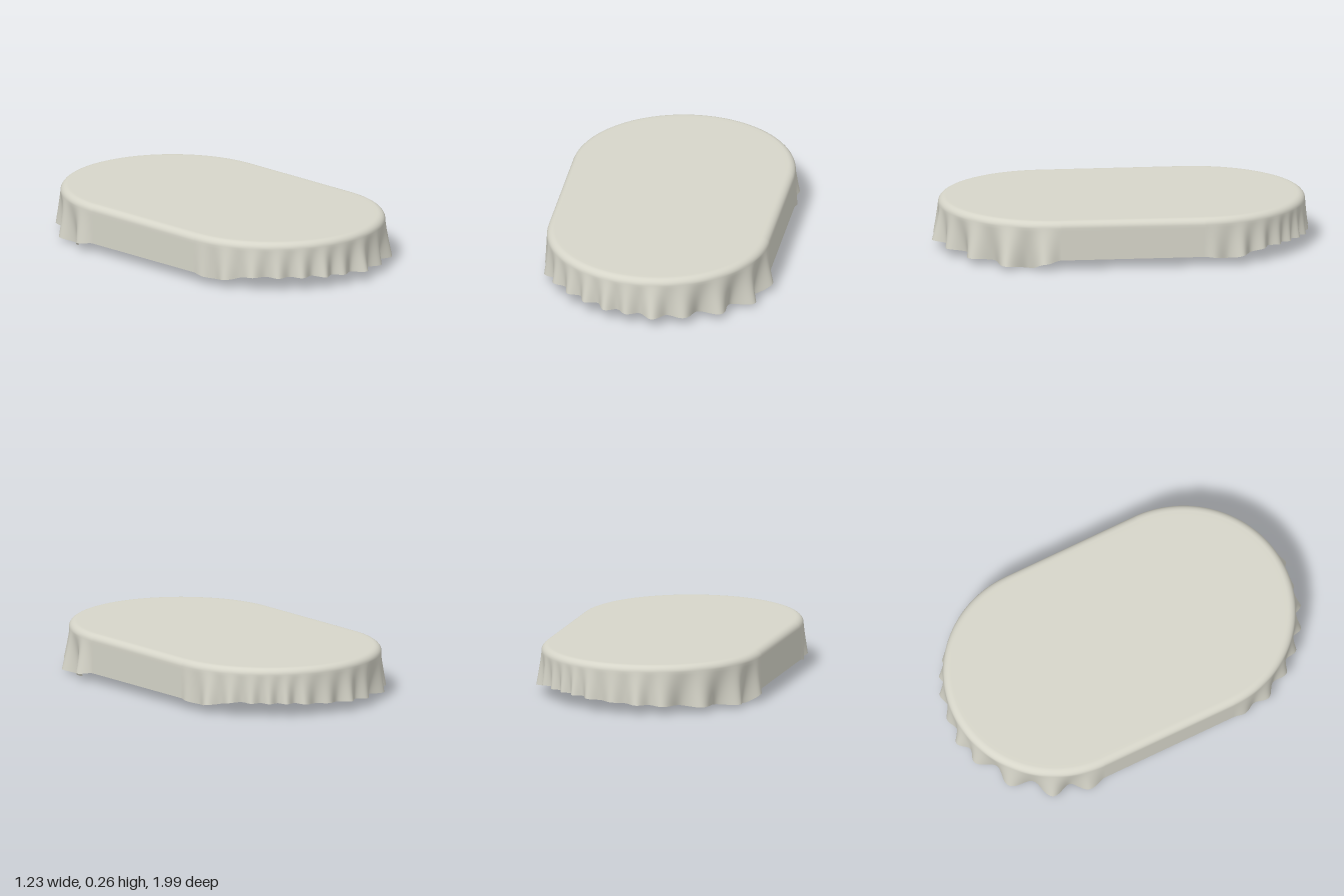
import * as THREE from 'three';

const RADIUS = 0.587;   // end radius of the stadium-shaped top
const HALF = 0.375;     // half length of the straight sides
const TOP = 0.256;      // height of the top
const STEPS = 220;      // columns per rounded end

// Smooth interpolation through [position, value] knots
function ease(knots, a) {
  for (let i = 1; i < knots.length; i++) {
    const [a0, v0] = knots[i - 1], [a1, v1] = knots[i];
    if (a <= a1) return v0 + (v1 - v0) * (0.5 - 0.5 * Math.cos(Math.PI * (a - a0) / (a1 - a0)));
  }
  return knots[knots.length - 1][1];
}

// Fold ridges [degrees, radius at hem]; valleys are added halfway between
const frontRidges = [[8.7, 0.628], [27.7, 0.634], [48.6, 0.624], [68, 0.616], [83.7, 0.633], [97, 0.612],
  [108, 0.62], [120, 0.616], [132, 0.611], [145, 0.612], [159.6, 0.611], [174, 0.597]];
const backRidges = [[9, 0.614], [27.7, 0.62], [49.8, 0.614], [70.6, 0.61], [83.4, 0.617], [96.6, 0.603],
  [110, 0.609], [119.4, 0.609], [128, 0.604], [137, 0.604], [148, 0.608], [160.5, 0.616], [175, 0.597]];

function foldKnots(ridges) {
  const knots = [[0, RADIUS]];
  ridges.forEach(([a, r], i) => {
    knots.push([a, r]);
    if (i < ridges.length - 1) {
      const mid = (a + ridges[i + 1][0]) / 2;
      knots.push([mid, mid < 75 ? 0.55 : 0.575]);
    }
  });
  knots.push([180, RADIUS]);
  return knots;
}

// Height of the hem around each end
const hem = [[0, 0.05], [8, 0.038], [17, 0], [28, 0.018], [49, 0.03], [69, 0.042], [84, 0.05],
  [100, 0.058], [120, 0.07], [145, 0.072], [158, 0.05], [167, 0.036], [180, 0.05]];

// Rounded rim and hanging cloth as a grid of columns around the outline
function skirtGeometry() {
  const columns = [];
  [frontRidges, backRidges].forEach((ridges, end) => {
    const knots = foldKnots(ridges);
    const sign = end ? -1 : 1;
    for (let i = 0; i <= STEPS; i++) {
      const deg = 180 * i / STEPS;
      const a = deg * Math.PI / 180;
      columns.push({
        dx: sign * Math.cos(a), dz: sign * Math.sin(a), cz: sign * HALF,
        flare: ease(knots, deg) - RADIUS, low: ease(hem, deg),
      });
    }
  });
  const RIM = 6, DROP = 12, rows = RIM + DROP + 2;
  const positions = [], index = [];
  for (const c of columns) {
    const put = (r, y) => positions.push(c.dx * r, y, c.cz + c.dz * r);
    put(RADIUS - 0.07, TOP);
    for (let j = 0; j <= RIM; j++) {
      const t = j / RIM * Math.PI / 2;
      put(RADIUS - 0.04 + 0.04 * Math.sin(t), TOP - 0.035 * (1 - Math.cos(t)));
    }
    for (let j = 1; j <= DROP; j++) {
      const t = j / DROP;
      put(RADIUS + c.flare * Math.pow(t, 1.1), TOP - 0.035 + (c.low - TOP + 0.035) * t);
    }
  }
  const n = columns.length;
  for (let i = 0; i < n; i++) {
    for (let j = 0; j < rows - 1; j++) {
      const p = i * rows + j, q = ((i + 1) % n) * rows + j;
      index.push(p, q, p + 1, q, q + 1, p + 1);
    }
  }
  const geometry = new THREE.BufferGeometry();
  geometry.setAttribute('position', new THREE.Float32BufferAttribute(positions, 3));
  geometry.setIndex(index);
  geometry.computeVertexNormals();
  return geometry;
}

// Flat stadium inside the rim
function topGeometry() {
  const r = RADIUS - 0.07;
  const shape = new THREE.Shape();
  shape.absarc(0, HALF, r, 0, Math.PI, false);
  shape.absarc(0, -HALF, r, Math.PI, Math.PI * 2, false);
  shape.closePath();
  return new THREE.ShapeGeometry(shape, STEPS).rotateX(-Math.PI / 2).translate(0, TOP, 0);
}

export function createModel() {
  const cloth = new THREE.MeshStandardMaterial({ color: 0xd6d5c9, side: THREE.DoubleSide });
  cloth.name = 'ivory cloth';

  const model = new THREE.Group();
  model.name = 'tablecloth';
  const parts = { clothTop: topGeometry(), ruffledSkirt: skirtGeometry() };
  for (const [name, geometry] of Object.entries(parts)) {
    const mesh = new THREE.Mesh(geometry, cloth);
    mesh.name = name;
    mesh.position.set(-0.008, 0, -0.008);
    model.add(mesh);
  }
  return model;
}
